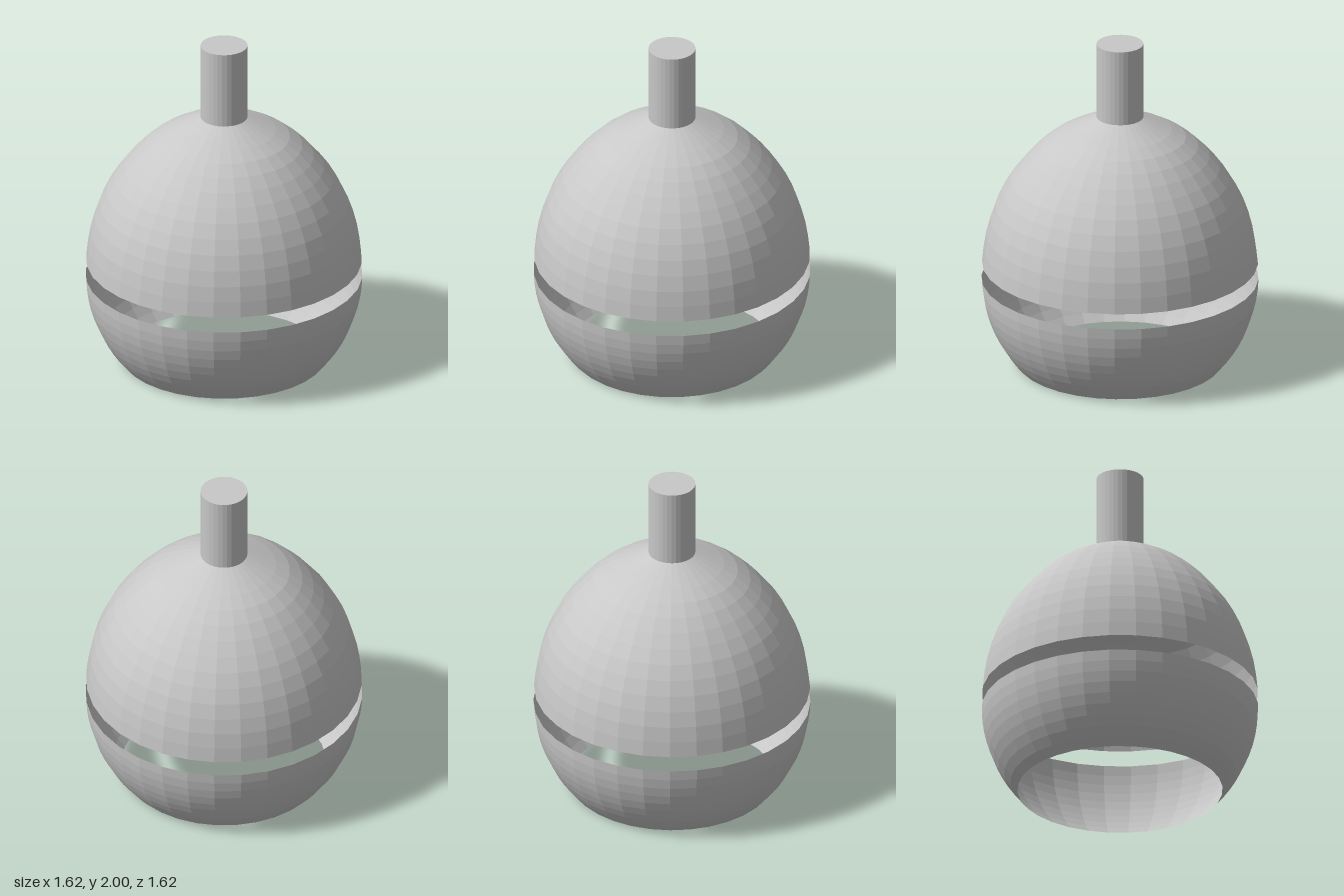
import * as THREE from 'three';

const SIDES = 32;

export function createModel() {
  const model = new THREE.Group();
  model.name = 'pendantLamp';

  const shellGrey = new THREE.MeshStandardMaterial({ color: 0xc8c8c8 });
  shellGrey.name = 'shell grey';
  shellGrey.flatShading = true;
  shellGrey.side = THREE.DoubleSide;

  const add = (name, geometry) => {
    const mesh = new THREE.Mesh(geometry, shellGrey);
    mesh.name = name;
    model.add(mesh);
    return mesh;
  };

  // Lower bowl: open band of a sphere, cut at the floor and at the gap
  const radius = 0.81, centreY = 0.544, gapBottom = 0.525, rows = 9;
  const start = Math.asin(-centreY / radius);
  const end = Math.asin((gapBottom - centreY) / radius);
  const bowl = [];
  for (let i = 0; i <= rows; i++) {
    const a = start + (end - start) * i / rows;
    bowl.push(new THREE.Vector2(radius * Math.cos(a), centreY + radius * Math.sin(a)));
  }
  add('lowerBowl', new THREE.LatheGeometry(bowl, SIDES));

  // Upper dome: taller open shell drawn in to the stem
  const dome = new THREE.SplineCurve([
    [0.807, 0.62], [0.783, 0.8], [0.72, 1.0], [0.602, 1.2], [0.405, 1.4], [0.137, 1.54],
  ].map(([x, y]) => new THREE.Vector2(x, y)));
  add('upperDome', new THREE.LatheGeometry(dome.getSpacedPoints(13), SIDES));

  // Stem: capped rod on top of the dome
  add('stem', new THREE.CylinderGeometry(0.137, 0.137, 0.46, SIDES)).position.y = 1.77;

  return model;
}
